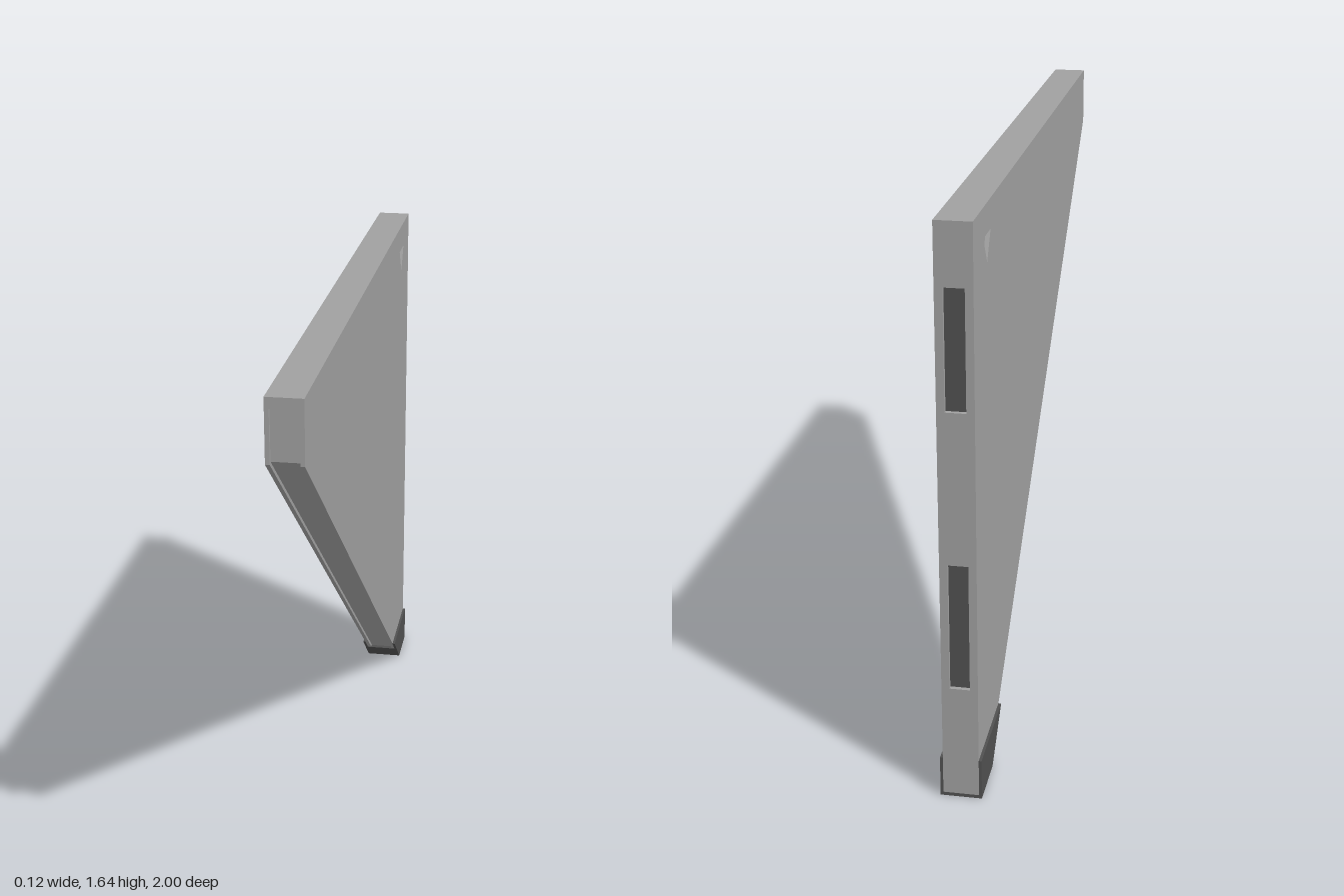
import * as THREE from 'three';

const grey = new THREE.MeshStandardMaterial({ name: 'panelGrey', color: 0xa0a0a0 });
const dark = new THREE.MeshStandardMaterial({ name: 'darkGrey', color: 0x505050 });

const toPoints = (list) => list.map(([z, y]) => new THREE.Vector2(z, y));

// Extrudes a side profile of [z, y] points across x from x0 to x1.
function slab(name, material, profile, x0, x1, hole) {
  const shape = new THREE.Shape(toPoints(profile));
  if (hole) shape.holes.push(new THREE.Path(toPoints(hole)));
  const geometry = new THREE.ExtrudeGeometry(shape, { depth: x1 - x0, bevelEnabled: false });
  geometry.rotateY(-Math.PI / 2);
  geometry.translate(x1, 0, 0);
  const mesh = new THREE.Mesh(geometry, material);
  mesh.name = name;
  return mesh;
}

export function createModel() {
  const group = new THREE.Group();
  group.name = 'triangularPanel';

  // Outer outline, and the inner one set back along the nose and the slope
  const outer = [[-1, 0.01], [-0.839, 0.01], [1, 1.465], [1, 1.64], [-1, 1.64]];
  const inner = [[-1, 0.01], [-0.855, 0.01], [0.99, 1.47], [0.99, 1.61], [1, 1.61], [1, 1.64], [-1, 1.64]];
  const triangle = [[-0.77, 1.56], [-0.87, 1.56], [-0.82, 1.485]];
  const slots = [[1.47, 1.14], [0.71, 0.34]];
  const bootSide = [[-1, 0], [-0.84, 0], [-0.7, 0.12], [-1, 0.12]];
  const bootSole = [[-1, 0], [-0.84, 0], [-0.758, 0.07], [-0.775, 0.07], [-0.845, 0.01], [-1, 0.01]];

  // Core with two notches in the back edge
  const notched = [...inner];
  for (const [top, bottom] of slots) {
    notched.push([-1, top], [-0.98, top], [-0.98, bottom], [-1, bottom]);
  }
  group.add(slab('core', grey, notched, -0.028, 0.028));

  // Dark floors of the back slots
  slots.forEach(([top, bottom], i) => {
    const floor = new THREE.Mesh(new THREE.BoxGeometry(0.056, top - bottom, 0.008), dark);
    floor.name = `backSlot${i + 1}`;
    floor.position.set(0, (top + bottom) / 2, -0.984);
    group.add(floor);
  });

  // Inner layers, covers with the triangular recess, and boot cheeks on both sides
  for (const [side, s] of [['left', 1], ['right', -1]]) {
    const layer = (name, material, profile, a, b, hole) =>
      group.add(slab(side + name, material, profile, Math.min(s * a, s * b), Math.max(s * a, s * b), hole));
    layer('InnerLayer', grey, inner, 0.028, 0.038);
    layer('Cover', grey, outer, 0.038, 0.05, triangle);
    layer('BootCheek', dark, bootSide, 0.05, 0.058);
  }

  // Sole and toe of the boot
  group.add(slab('bootSole', dark, bootSole, -0.05, 0.05));

  return group;
}
